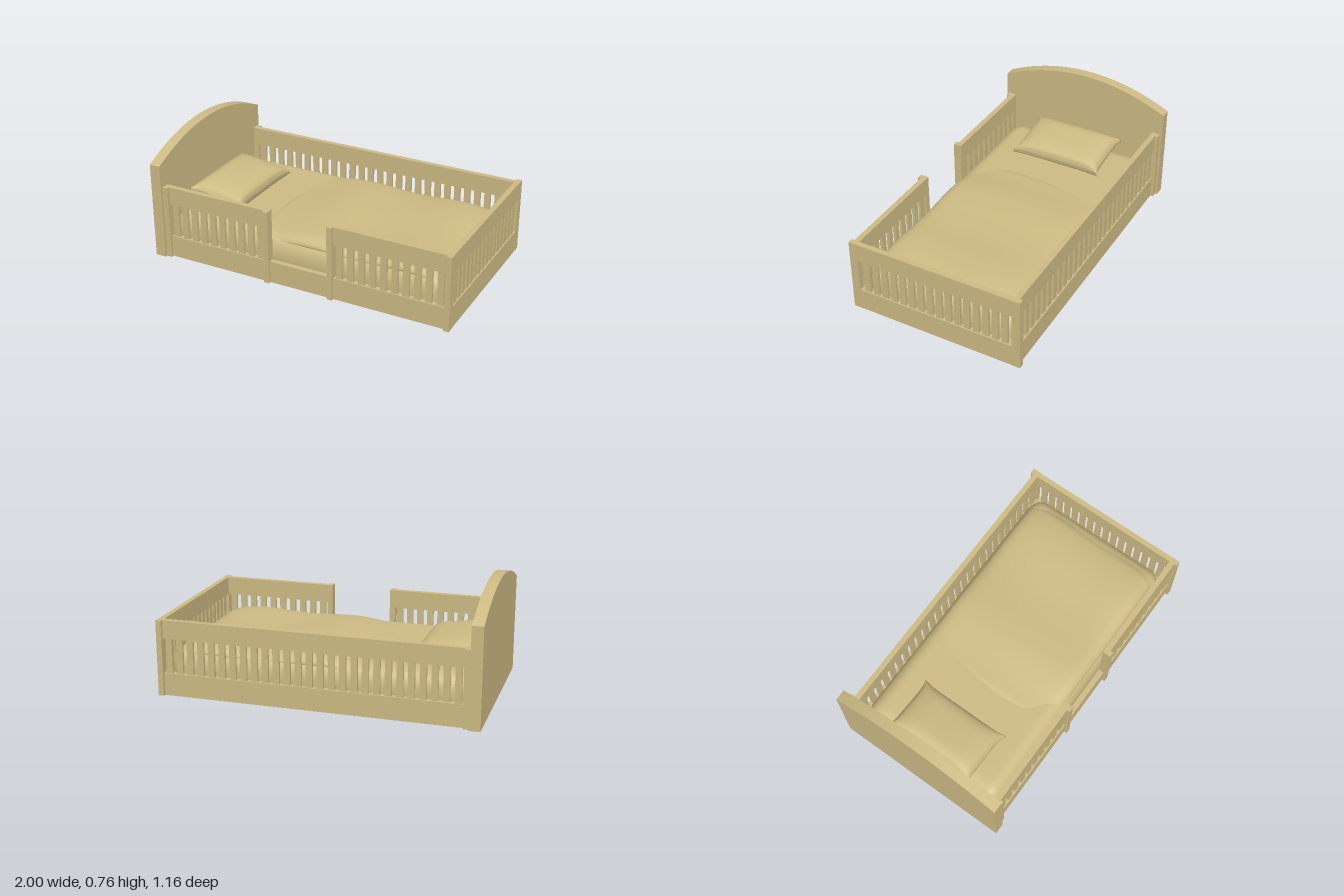
import * as THREE from 'three';
import { mergeVertices } from 'three/addons/utils/BufferGeometryUtils.js';

const wood = new THREE.MeshStandardMaterial({ color: 0xcdbb84 });
const cloth = new THREE.MeshStandardMaterial({ color: 0xcdbb84 });

// Box given by its limits on each axis
function box(name, [x0, x1], [y0, y1], [z0, z1]) {
  const mesh = new THREE.Mesh(new THREE.BoxGeometry(x1 - x0, y1 - y0, z1 - z0), wood);
  mesh.position.set((x0 + x1) / 2, (y0 + y1) / 2, (z0 + z1) / 2);
  mesh.name = name;
  return mesh;
}

// Smooth soft form: a fine unit box (-1..1) whose vertices are moved by a rule
function soft(name, rule) {
  let geo = new THREE.BoxGeometry(2, 2, 2, 48, 12, 48);
  geo.deleteAttribute('uv');
  geo.deleteAttribute('normal');
  geo = mergeVertices(geo);
  const p = geo.attributes.position;
  const v = new THREE.Vector3();
  for (let i = 0; i < p.count; i++) {
    v.fromBufferAttribute(p, i);
    rule(v);
    p.setXYZ(i, v.x, v.y, v.z);
  }
  geo.computeVertexNormals();
  const mesh = new THREE.Mesh(geo, cloth);
  mesh.name = name;
  return mesh;
}

// Turns a unit box point into a rounded box point with half size h and radii r
function roundOff(v, h, r) {
  const d = new THREE.Vector3();
  for (const a of ['x', 'y', 'z']) {
    const c = Math.sin(v[a] * Math.PI / 2) * h[a];
    v[a] = THREE.MathUtils.clamp(c, r[a] - h[a], h[a] - r[a]);
    d[a] = (c - v[a]) / r[a];
  }
  if (d.lengthSq() > 0) d.normalize();
  v.add(d.multiply(r));
}

const LOW = [0, 0.142], GAP = [0.142, 0.363], HIGH = [0.363, 0.48];
const RAIL = [0.512, 0.546], POST = [0.512, 0.565], SLAT = [0.52, 0.538];
const flip = ([a, b]) => [-b, -a];

// Row of slats with a top rail along x
function sidePanel(name, x0, x1, z, slatZ) {
  const g = new THREE.Group();
  g.name = name;
  g.add(box('topRail', [x0, x1], HIGH, z));
  const n = Math.round((x1 - x0) / 0.07);
  const step = (x1 - x0) / n;
  for (let i = 0; i < n; i++) {
    const c = x0 + (i + 0.5) * step;
    g.add(box('slat', [c - 0.02, c + 0.02], GAP, slatZ));
  }
  return g;
}

export function createModel() {
  const bed = new THREE.Group();
  bed.name = 'childBed';

  // Arched headboard
  const arch = new THREE.Shape();
  arch.moveTo(-0.58, 0);
  arch.lineTo(0.58, 0);
  arch.lineTo(0.58, 0.625);
  arch.quadraticCurveTo(0, 0.905, -0.58, 0.625);
  const headGeo = new THREE.ExtrudeGeometry(arch, { depth: 0.07, bevelEnabled: false, curveSegments: 40 });
  headGeo.rotateY(-Math.PI / 2);
  const head = new THREE.Mesh(headGeo, wood);
  head.position.x = -0.93;
  head.name = 'headboard';
  bed.add(head);

  // Base and lower side boards
  bed.add(box('base', [-0.93, 0.97], [0, 0.135], [-0.515, 0.515]));
  bed.add(box('frontBoard', [-0.93, 0.985], LOW, RAIL));
  bed.add(box('backBoard', [-0.93, 0.985], LOW, flip(RAIL)));

  // Posts: four on the open front side, two on the back
  for (const x of [-0.928, -0.215, 0.217, 0.965])
    bed.add(box('frontPost', [x, x + 0.035], [0, 0.48], POST));
  for (const x of [-0.928, 0.965])
    bed.add(box('backPost', [x, x + 0.035], [0, 0.48], flip(POST)));

  // Side guards
  bed.add(sidePanel('frontHeadGuard', -0.893, -0.215, RAIL, SLAT));
  bed.add(sidePanel('frontFootGuard', 0.252, 0.965, RAIL, SLAT));
  bed.add(sidePanel('backGuard', -0.893, 0.965, flip(RAIL), flip(SLAT)));

  // Footboard
  const foot = new THREE.Group();
  foot.name = 'footboard';
  const footX = [0.965, 0.999];
  foot.add(box('footBoard', footX, LOW, [-0.512, 0.512]));
  foot.add(box('footTopRail', footX, HIGH, [-0.512, 0.512]));
  for (let i = 0; i < 16; i++) {
    const z = (i - 7.5) * 0.0615;
    foot.add(box('footSlat', [0.973, 0.991], GAP, [z - 0.02, z + 0.02]));
  }
  bed.add(foot);

  // Mattress
  const mh = new THREE.Vector3(0.945, 0.135, 0.51), mr = new THREE.Vector3(0.12, 0.12, 0.1);
  bed.add(soft('mattress', v => {
    roundOff(v, mh, mr);
    v.x += 0.018;
    v.y += 0.158;
  }));

  // Quilt with gentle waves, drooping at its edges
  const qh = new THREE.Vector3(0.63, 0.035, 0.48), qr = new THREE.Vector3(0.07, 0.034, 0.07);
  bed.add(soft('quilt', v => {
    roundOff(v, qh, qr);
    v.x += 0.275;
    const side = Math.pow(Math.abs(v.z) / 0.48, 6);
    const end = Math.pow(Math.max(v.x, 0) / 0.905, 10);
    const start = THREE.MathUtils.smoothstep(v.x, -0.36, 0.05);
    v.y += 0.268 + 0.02 * start + 0.007 * Math.cos((v.x - 0.03) * 9.7)
      + 0.004 * Math.cos(v.z * 9 + v.x * 3) - 0.025 * side - 0.03 * end;
  }));

  // Pillow with drawn-in edges and pointed corners
  const pillow = soft('pillow', v => {
    const { x, y, z } = v;
    const puff = Math.sqrt((1 - x ** 4) * (1 - z ** 4));
    v.x = 0.188 * x * (1 - 0.08 * (1 - z ** 6));
    v.z = 0.31 * z * (1 - 0.06 * (1 - x ** 6));
    v.y = y * (0.012 + 0.062 * puff);
  });
  pillow.position.set(-0.715, 0.338, 0.005);
  pillow.rotation.z = -0.14;
  bed.add(pillow);

  return bed;
}
